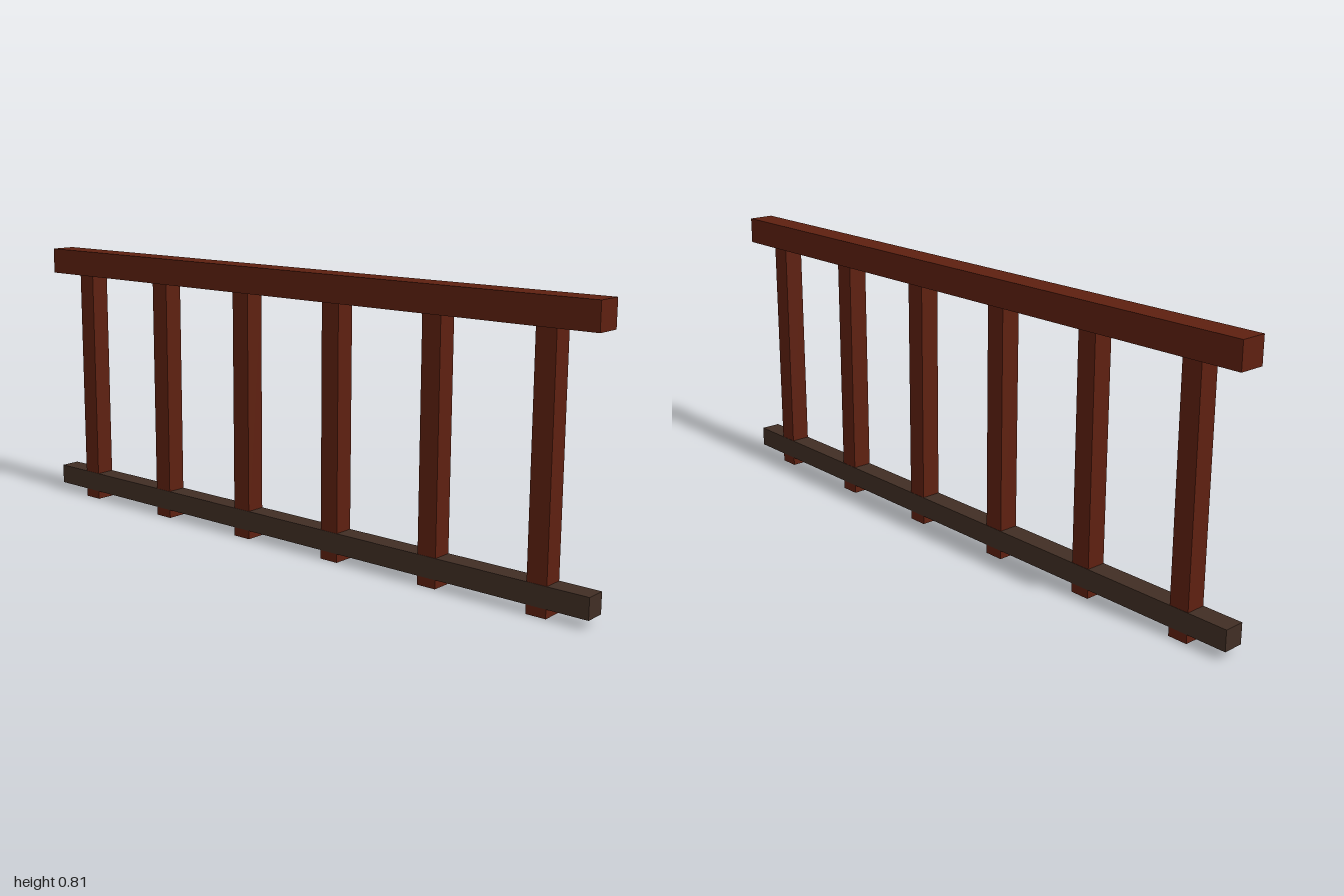
import * as THREE from 'three';

const redWood = new THREE.MeshStandardMaterial({ name: 'redWood', color: 0x5e2010 });
const darkWood = new THREE.MeshStandardMaterial({ name: 'darkWood', color: 0x412e24 });

// Box spanning y0..y1, centred on x and z = 0
function beam(name, material, x, y0, y1, width, depth) {
  const mesh = new THREE.Mesh(new THREE.BoxGeometry(width, y1 - y0, depth), material);
  mesh.name = name;
  mesh.position.set(x, (y0 + y1) / 2, 0);
  return mesh;
}

export function createModel() {
  const railing = new THREE.Group();
  railing.name = 'railing';

  // Handrail, and lower rail a hair deeper than the posts it crosses
  railing.add(beam('handrail', redWood, 0, 0.737, 0.815, 2, 0.078));
  railing.add(beam('lowerRail', darkWood, 0, 0.026, 0.086, 2, 0.061));

  // Six evenly spaced posts
  const posts = new THREE.Group();
  posts.name = 'posts';
  for (let i = 0; i < 6; i++) {
    posts.add(beam(`post${i + 1}`, redWood, -0.85 + i * 0.34, 0, 0.74, 0.059, 0.059));
  }
  railing.add(posts);
  return railing;
}
